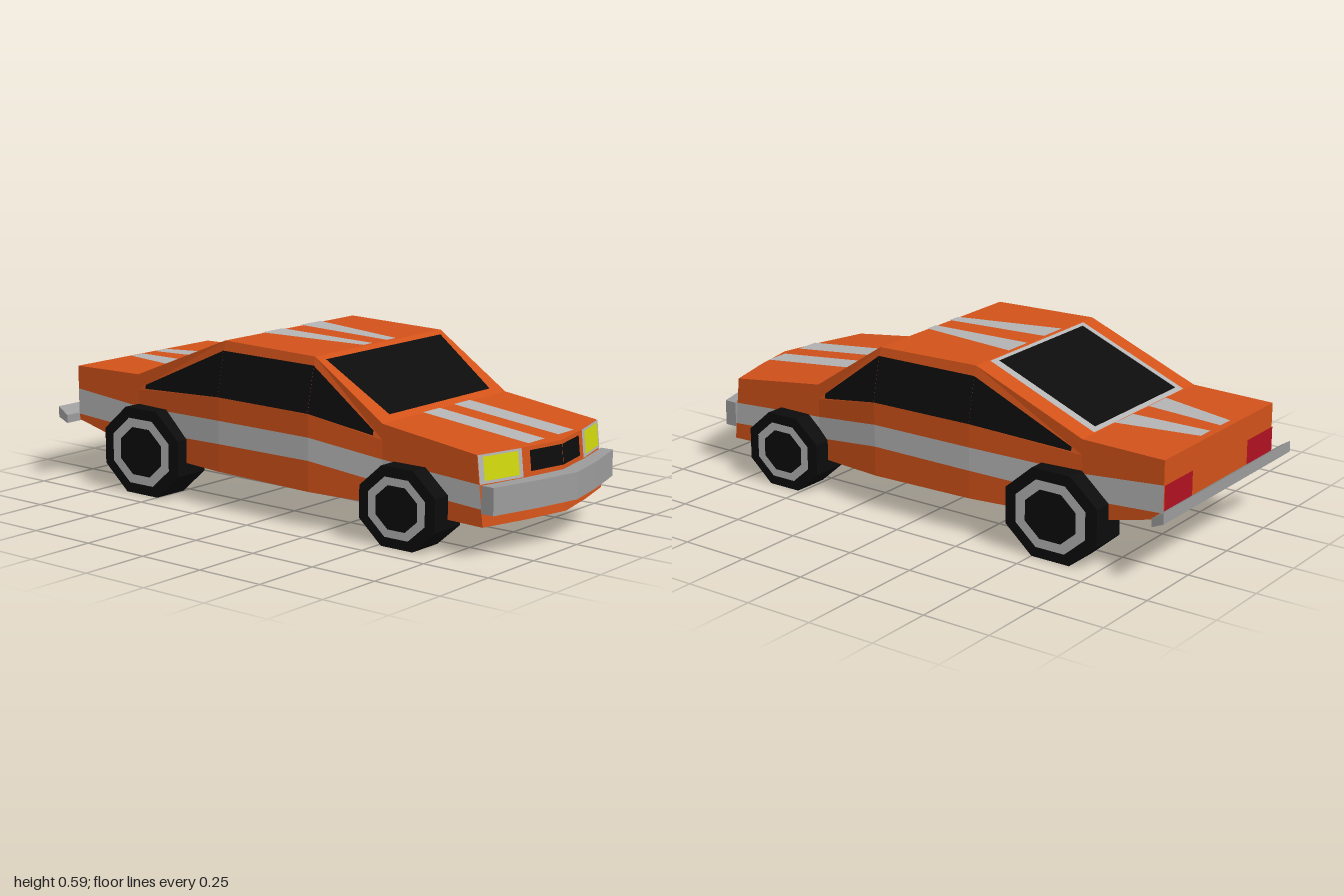
import * as THREE from 'three';

const ORANGE = 0xd2521a, SILVER = 0xb4b4b4, BLACK = 0x0c0c0c, YELLOW = 0xd0d80c, RED = 0xb01020, CHROME = 0x9c9c9c;
const CENTRE = new THREE.Vector3(0, 0.28, 0);
const material = color => new THREE.MeshStandardMaterial({ color, flatShading: true });

function mesh(name, geometry, color) {
  const m = new THREE.Mesh(geometry, material(color));
  m.name = name;
  return m;
}

// Convex polygons, turned to face away from the middle of the car; lift floats trim off the body
function panels(name, color, polygons, lift = 0) {
  const out = [];
  for (const poly of polygons) {
    const p = poly.map(q => new THREE.Vector3(...q));
    const mid = p.reduce((s, q) => s.add(q), new THREE.Vector3()).divideScalar(p.length);
    const n = new THREE.Vector3();
    for (let i = 1; i + 1 < p.length; i++)
      n.add(p[i].clone().sub(p[0]).cross(p[i + 1].clone().sub(p[0])));
    n.normalize();
    if (n.dot(mid.sub(CENTRE)) < 0) { p.reverse(); n.negate(); }
    p.forEach(q => q.addScaledVector(n, lift));
    for (let i = 1; i + 1 < p.length; i++)
      for (const q of [p[0], p[i], p[i + 1]]) out.push(q.x, q.y, q.z);
  }
  const g = new THREE.BufferGeometry();
  g.setAttribute('position', new THREE.Float32BufferAttribute(out, 3));
  g.computeVertexNormals();
  return mesh(name, g, color);
}

// Both sides of the car from polygons on the left
const mirrored = polys => [...polys, ...polys.map(p => p.map(([x, y, z]) => [-x, y, z]))];

// Piecewise linear lookup, keys falling
function lerpTable(table, k) {
  let i = 0;
  while (i < table.length - 2 && k < table[i + 1][0]) i++;
  const [a, b] = [table[i], table[i + 1]];
  return a[1] + (b[1] - a[1]) * (k - a[0]) / (b[0] - a[0]);
}

// Pointed nose: z for a given x and height
const noseZ = (x, y) => lerpTable([[0.35, 0.87], [0.17, 0.92], [0, 0.955]], Math.abs(x)) - 0.025 * (y - 0.107) / 0.233;

// Stations from nose to tail: z, half width, then heights of sill, stripe bottom, stripe top, belt, top
const STATIONS = [
  [null, 0.35, 0.107, 0.165, 0.245, 0.3, 0.34],
  [0.465, 0.35, 0.117, 0.19, 0.27, 0.335, 0.39],
  [0.18, 0.39, 0.123, 0.23, 0.31, 0.39, 0.58],
  [-0.225, 0.39, 0.131, 0.23, 0.313, 0.395, 0.59],
  [-0.65, 0.35, 0.14, 0.215, 0.302, 0.365, 0.42],
  [-0.96, 0.35, 0.215, 0.235, 0.33, 0.38, 0.415],
];
const sidePoint = (s, level) => {
  const y = s[2 + level];
  return [level === 4 ? 0.35 : s[1], y, s[0] ?? noseZ(0.35, y)];
};
const sillY = z => lerpTable([[0.955, 0.107], [-0.65, 0.14], [-0.96, 0.215]], z);
const topY = z => lerpTable([[0.9, 0.343], ...STATIONS.slice(1).map(s => [s[0], s[6]])], z);

function buildBody() {
  const g = new THREE.Group();
  g.name = 'body';
  const shell = [], stripe = [];
  for (let i = 0; i < STATIONS.length - 1; i++) {
    const a = STATIONS[i], b = STATIONS[i + 1];
    for (let k = 0; k < 3; k++)
      (k === 1 ? stripe : shell).push([sidePoint(a, k), sidePoint(a, k + 1), sidePoint(b, k + 1), sidePoint(b, k)]);
    // upper side, split along the line from belt to roof
    const [a0, a1, b0, b1] = [sidePoint(a, 3), sidePoint(a, 4), sidePoint(b, 3), sidePoint(b, 4)];
    if (i < 3) shell.push([a0, b0, b1], [a0, b1, a1]);
    else shell.push([a0, b0, a1], [b0, b1, a1]);
    // top and underside in columns
    for (const level of [0, 4]) {
      const cols = [0, 0.17 / 0.35, 1];
      const at = (s, t) => {
        const x = t * sidePoint(s, level)[0], y = s[2 + level];
        return [x, y, s[0] ?? noseZ(x, y)];
      };
      for (let c = 0; c < 2; c++)
        shell.push([at(a, cols[c]), at(a, cols[c + 1]), at(b, cols[c + 1]), at(b, cols[c])]);
    }
  }
  // nose and tail faces
  for (const [x0, x1] of [[0, 0.17], [0.17, 0.35]]) {
    shell.push(nosePanel(x0, x1, 0.107, 0.34));
    shell.push([[x0, 0.215, -0.96], [x1, 0.215, -0.96], [x1, 0.415, -0.96], [x0, 0.415, -0.96]]);
  }
  g.add(panels('bodyShell', ORANGE, mirrored(shell)), panels('sideStripes', SILVER, mirrored(stripe)));
  return g;
}

const nosePanel = (x0, x1, y0, y1) =>
  [[x0, y0], [x1, y0], [x1, y1], [x0, y1]].map(([x, y]) => [x, y, noseZ(x, y)]);

// Strip along the car between z0 and z1, inner and outer x at both ends
const strip = (yOf, z0, in0, out0, z1, in1, out1) =>
  [[in0, yOf(z0), z0], [out0, yOf(z0), z0], [out1, yOf(z1), z1], [in1, yOf(z1), z1]];

function buildWindows() {
  const g = new THREE.Group();
  g.name = 'windows';
  const ridge = [[0.465, 0.335], [0.18, 0.58], [-0.225, 0.59], [-0.65, 0.365]];
  const pt = (z, y) => [0.35 + 0.04 * (lerpTable(ridge, z) - y) / 0.192, y, z];
  const side = [
    [pt(0.43, 0.346), pt(0.18, 0.391), pt(0.18, 0.55), pt(0.43, 0.363)],
    [pt(0.18, 0.391), pt(-0.225, 0.396), pt(-0.225, 0.555), pt(0.18, 0.55)],
    [pt(-0.225, 0.396), pt(-0.61, 0.372), pt(-0.61, 0.386), pt(-0.225, 0.555)],
  ];
  g.add(
    panels('sideWindows', BLACK, mirrored(side), 0.003),
    panels('windshield', BLACK, mirrored([strip(topY, 0.2, 0, 0.32, 0.442, 0, 0.285)]), 0.003),
    panels('rearWindowFrame', SILVER, mirrored([strip(topY, -0.232, 0, 0.28, -0.648, 0, 0.28)]), 0.003),
    panels('rearWindow', BLACK, mirrored([strip(topY, -0.247, 0, 0.252, -0.632, 0, 0.252)]), 0.006));
  return g;
}

function buildTrim() {
  const g = new THREE.Group();
  g.name = 'trim';
  g.add(
    panels('topStripes', SILVER, mirrored([
      strip(topY, 0.893, 0.04, 0.133, 0.467, 0.04, 0.133),
      strip(topY, 0.178, 0.04, 0.09, -0.223, 0.05, 0.16),
      strip(topY, -0.652, 0.05, 0.16, -0.94, 0.033, 0.095)]), 0.004),
    panels('undersideStripes', SILVER, mirrored([
      strip(sillY, 0.9, 0.04, 0.13, -0.65, 0.04, 0.13),
      strip(sillY, -0.65, 0.04, 0.13, -0.94, 0.04, 0.13)]), 0.004),
    panels('headlightSurrounds', SILVER, mirrored([nosePanel(0.176, 0.35, 0.245, 0.34)]), 0.003),
    panels('headlights', YELLOW, mirrored([nosePanel(0.193, 0.332, 0.255, 0.333)]), 0.006),
    panels('grille', BLACK, mirrored([nosePanel(0, 0.143, 0.26, 0.328)]), 0.004),
    panels('tailLights', RED, mirrored([
      [[0.178, 0.24, -0.96], [0.35, 0.24, -0.96], [0.35, 0.33, -0.96], [0.178, 0.33, -0.96]]]), 0.003));
  return g;
}

function extrude(name, points, depth, color) {
  const shape = new THREE.Shape(points.map(p => new THREE.Vector2(...p)));
  return mesh(name, new THREE.ExtrudeGeometry(shape, { depth, bevelEnabled: false }), color);
}

function buildBumpers() {
  const g = new THREE.Group();
  g.name = 'bumpers';
  // front: bent plan raised upright; rear: wedge profile across the car
  const front = extrude('frontBumper', [
    [-0.352, -0.865], [-0.352, -0.912], [-0.17, -0.963], [0, -0.998], [0.17, -0.963], [0.352, -0.912],
    [0.352, -0.865], [0.17, -0.91], [0, -0.94], [-0.17, -0.91]], 0.092, CHROME);
  front.geometry.rotateX(-Math.PI / 2).translate(0, 0.152, 0);
  const rear = extrude('rearBumper', [[0.957, 0.24], [1, 0.268], [1, 0.228], [0.957, 0.21]], 0.83, CHROME);
  rear.geometry.rotateY(Math.PI / 2).translate(-0.415, 0, 0);
  g.add(front, rear);
  return g;
}

// Eight-sided wheel, slightly wider than tall, with a ring on its outer face
function buildWheel(name, side, z, halfZ, halfY, ringIn, ringOut) {
  const k = 1 / Math.cos(Math.PI / 8), g = new THREE.Group();
  g.name = name;
  const tyre = new THREE.CylinderGeometry(halfZ * k, halfZ * k, 0.136, 8, 1, false, Math.PI / 8);
  tyre.rotateZ(Math.PI / 2);
  const ring = new THREE.RingGeometry(ringIn * k, ringOut * k, 8, 1, Math.PI / 8);
  ring.rotateY(side * Math.PI / 2).translate(side * 0.071, 0, 0);
  g.add(mesh('tyre', tyre, BLACK), mesh('hubRing', ring, SILVER));
  g.scale.y = halfY / halfZ;
  g.position.set(side * 0.35, halfY, z);
  return g;
}

export function createModel() {
  const car = new THREE.Group();
  car.name = 'car';
  car.add(buildBody(), buildWindows(), buildTrim(), buildBumpers());
  for (const side of [1, -1]) {
    const label = side > 0 ? 'Left' : 'Right';
    car.add(buildWheel('front' + label + 'Wheel', side, 0.578, 0.155, 0.135, 0.085, 0.116));
    car.add(buildWheel('rear' + label + 'Wheel', side, -0.575, 0.18, 0.156, 0.1, 0.137));
  }
  return car;
}
